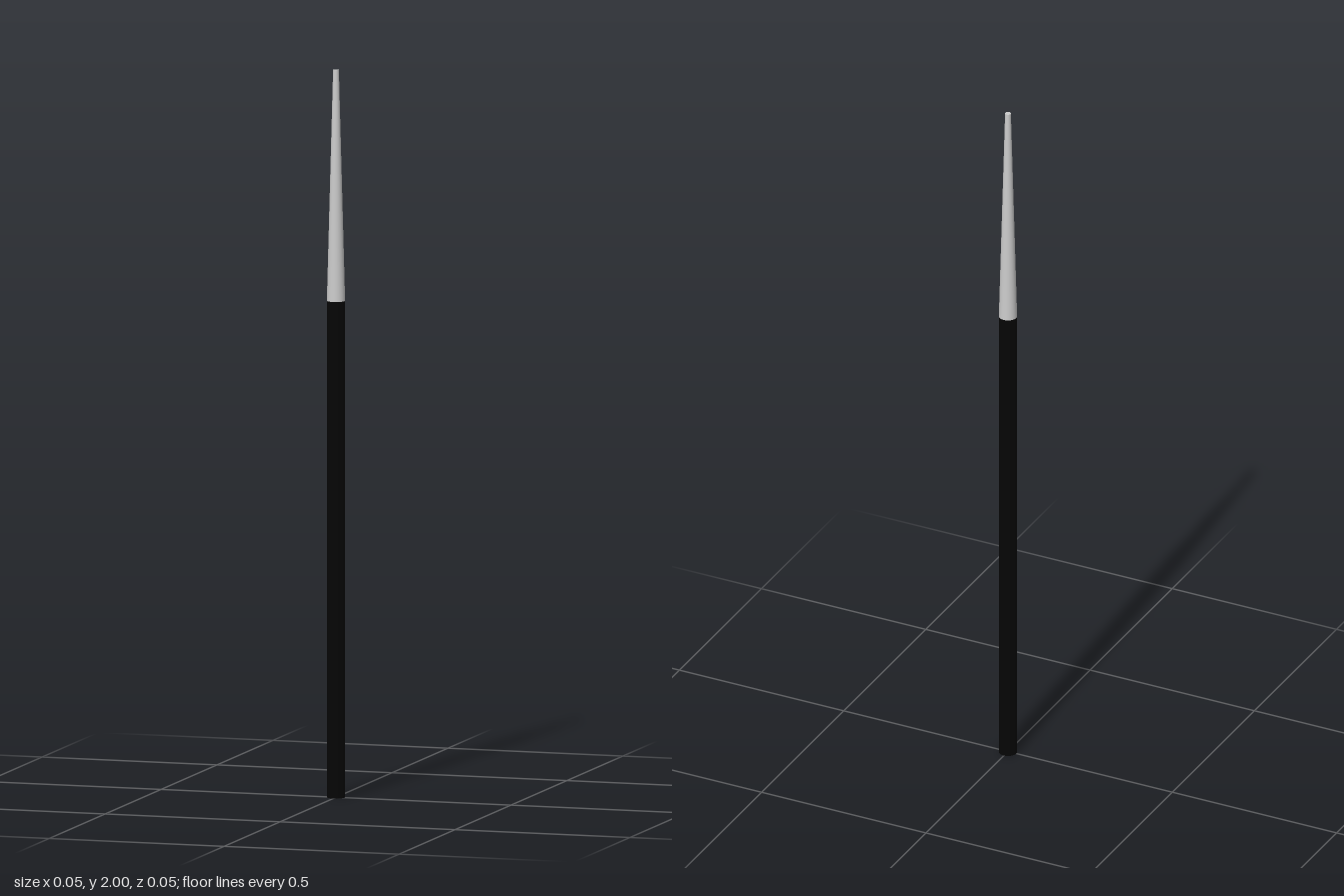
import * as THREE from 'three';

const SIDES = 32;
const RADIUS = 0.025;
const TIP_RADIUS = 0.008;
const GRIP_TOP = 1.365;
const HEIGHT = 2;

export function createModel() {
  const group = new THREE.Group();
  const grey = new THREE.MeshStandardMaterial({ color: 0xcccccc });
  const black = new THREE.MeshStandardMaterial({ color: 0x050505 });

  const add = (name, geometry, material, y) => {
    const mesh = new THREE.Mesh(geometry, material);
    mesh.name = name;
    mesh.position.y = y;
    group.add(mesh);
    return mesh;
  };

  // Straight dark grip, open at both ends
  add('grip', new THREE.CylinderGeometry(RADIUS, RADIUS, GRIP_TOP, SIDES, 1, true), black, GRIP_TOP / 2);

  // Pale disc closing the foot of the grip
  add('endCap', new THREE.CircleGeometry(RADIUS, SIDES).rotateX(Math.PI / 2), grey, 0);

  // Long tapered shaft with a flat tip
  const length = HEIGHT - GRIP_TOP;
  add('taperedShaft', new THREE.CylinderGeometry(TIP_RADIUS, RADIUS, length, SIDES), grey, GRIP_TOP + length / 2);

  return group;
}
